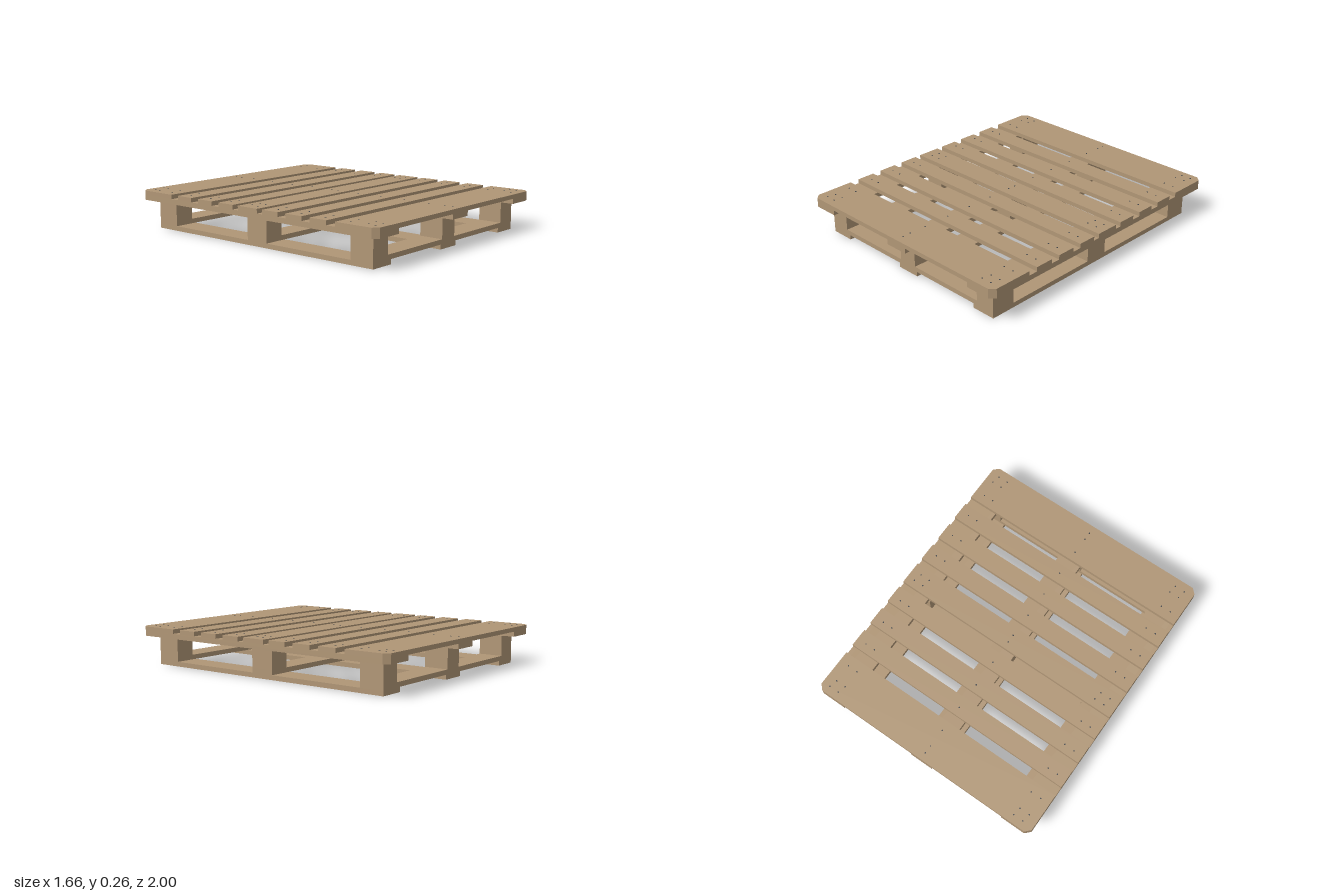
import * as THREE from 'three';

const wood = new THREE.MeshStandardMaterial({ color: 0xb09676 });
wood.name = 'wood';
const steel = new THREE.MeshStandardMaterial({ color: 0x45484c });
steel.name = 'nailSteel';

// Layer heights from the ground up
const Y = { base: 0.003, cross: 0.034, block: 0.065, stringer: 0.2, deck: 0.234, top: 0.263 };
const HALF_X = 0.832, CUT_X = 0.034, CUT_Z = 0.034;

// Horizontal plank from a plan outline of [x, z] corners
function plank(name, outline, y0, y1) {
  const shape = new THREE.Shape(outline.map(([x, z]) => new THREE.Vector2(x, -z)));
  const geo = new THREE.ExtrudeGeometry(shape, { depth: y1 - y0, bevelEnabled: false });
  geo.rotateX(-Math.PI / 2).translate(0, y0, 0);
  const mesh = new THREE.Mesh(geo, wood);
  mesh.name = name;
  return mesh;
}

function box(name, x0, x1, y0, y1, z0, z1) {
  const mesh = new THREE.Mesh(new THREE.BoxGeometry(x1 - x0, y1 - y0, z1 - z0), wood);
  mesh.position.set((x0 + x1) / 2, (y0 + y1) / 2, (z0 + z1) / 2);
  mesh.name = name;
  return mesh;
}

export function createModel() {
  const pallet = new THREE.Group();
  pallet.name = 'pallet';

  // Wide end deck boards with clipped outer corners
  for (const s of [-1, 1]) {
    pallet.add(plank('endDeckBoard', [
      [-HALF_X, s * 0.702], [HALF_X, s * 0.702], [HALF_X, s * (1 - CUT_Z)],
      [HALF_X - CUT_X, s], [CUT_X - HALF_X, s], [-HALF_X, s * (1 - CUT_Z)],
    ], Y.deck, Y.top));
  }

  // Narrow deck boards
  for (let i = -3; i <= 3; i++) {
    const z = i * 0.191, w = i === 0 ? 0.082 : 0.064;
    pallet.add(box('deckBoard', -HALF_X, HALF_X, Y.deck, Y.top, z - w, z + w));
  }

  // Upper stringers running front to back
  pallet.add(box('centreStringer', -0.082, 0.082, Y.stringer, Y.deck, -1, 1));
  for (const s of [-1, 1]) {
    pallet.add(plank('sideStringer', [
      [s * 0.625, -1], [s * (HALF_X - CUT_X), -1], [s * HALF_X, CUT_Z - 1],
      [s * HALF_X, 1 - CUT_Z], [s * (HALF_X - CUT_X), 1], [s * 0.625, 1],
    ], Y.stringer, Y.deck));
  }

  // Bottom runners, cross boards and the nine blocks
  const columns = [[-0.75, -0.615], [-0.066, 0.066], [0.615, 0.75]];
  const runners = [[-0.75, -0.585], [-0.082, 0.082], [0.585, 0.75]];
  const rows = [[-0.915, -0.75], [-0.082, 0.082], [0.75, 0.915]];
  for (const [x0, x1] of runners) pallet.add(box('bottomRunner', x0, x1, Y.base, Y.cross, -0.915, 0.915));
  for (const [z0, z1] of rows) {
    pallet.add(box('crossBoard', -0.75, 0.75, Y.cross, Y.block, z0, z1));
    for (const [x0, x1] of columns) pallet.add(box('block', x0, x1, Y.block, Y.stringer, z0, z1));
  }

  // Nail heads, slightly proud of the wood
  const nailGeo = new THREE.CylinderGeometry(0.005, 0.005, 0.004, 8);
  const nail = (x, y, z) => {
    const mesh = new THREE.Mesh(nailGeo, steel);
    mesh.position.set(x, y, z);
    mesh.name = 'nailHead';
    pallet.add(mesh);
  };
  const shifted = [-0.755, -0.685, 0, 0.705, 0.775];
  const regular = [-0.766, -0.695, 0, 0.692, 0.762];
  for (const z of [-0.95, -0.032, 0.885]) for (const x of shifted) nail(x, Y.top, z);
  for (const z of [-0.895, -0.77, -0.583, -0.395, -0.207, 0.025, 0.2, 0.387, 0.575, 0.765, 0.942]) {
    for (const x of regular) nail(x, Y.top, z);
  }
  for (const z of [-0.86, -0.8, -0.03, 0.03, 0.8, 0.86]) {
    for (const x of [-0.69, -0.64, -0.025, 0.025, 0.645, 0.71]) nail(x, Y.base - 0.001, z);
  }
  return pallet;
}
